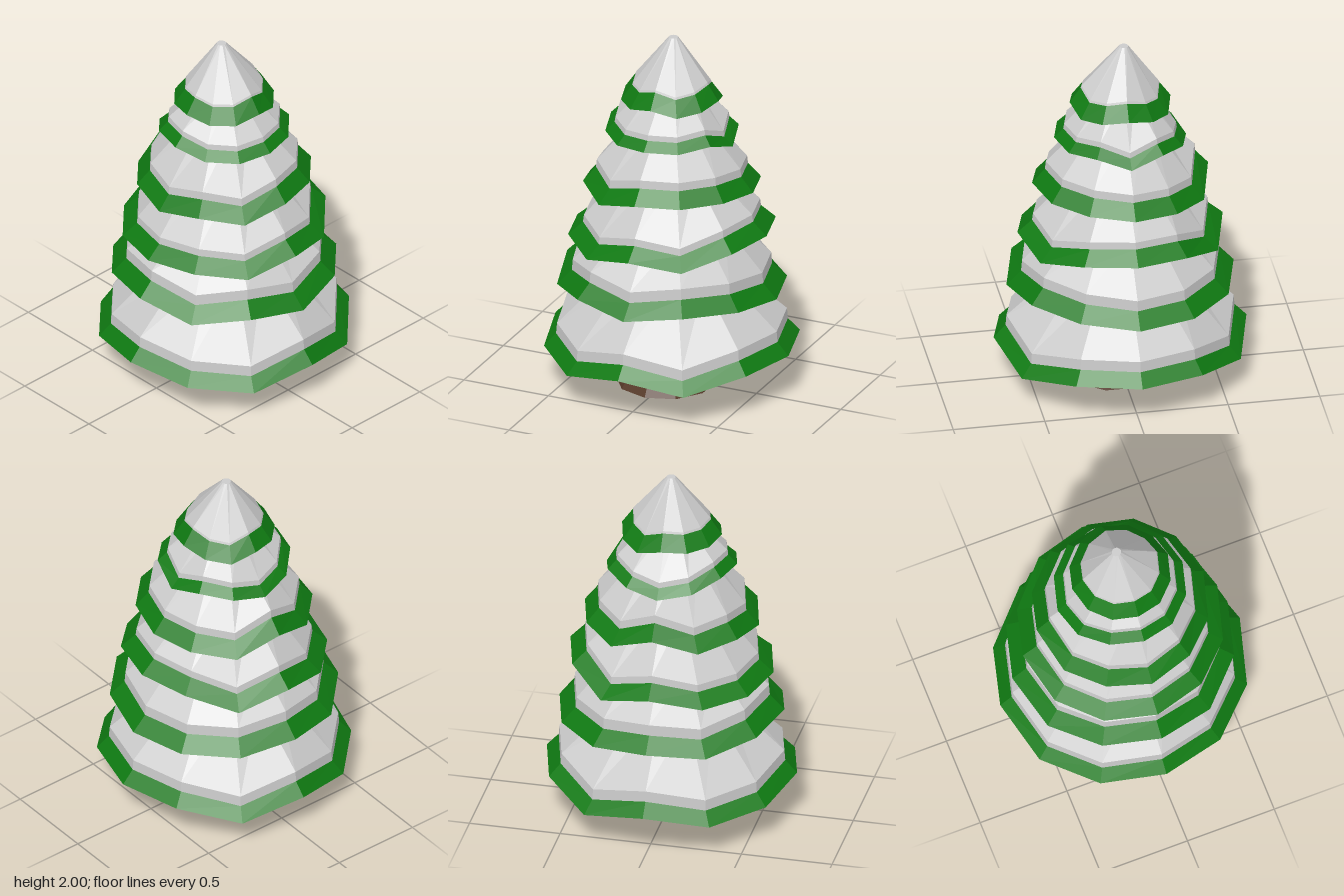
import * as THREE from 'three';

const SIDES = 12;
const green = new THREE.MeshStandardMaterial({ color: 0x0f7a12, flatShading: true });
const brown = new THREE.MeshStandardMaterial({ color: 0x573a28, flatShading: true });
const snowMat = new THREE.MeshStandardMaterial({ color: 0xcccccc, flatShading: true });

// Skin between stacked rings of points, listed from the bottom centre upwards
function loft(rings, material, name) {
  const n = rings[0].length, pos = [];
  for (let k = 0; k + 1 < rings.length; k++) {
    for (let i = 0; i < n; i++) {
      const j = (i + 1) % n;
      const a = rings[k][i], b = rings[k][j], c = rings[k + 1][j], d = rings[k + 1][i];
      for (const p of [a, b, c, a, c, d]) pos.push(...p);
    }
  }
  const geo = new THREE.BufferGeometry();
  geo.setAttribute('position', new THREE.Float32BufferAttribute(pos, 3));
  geo.computeVertexNormals();
  const mesh = new THREE.Mesh(geo, material);
  mesh.name = name;
  return mesh;
}

// One ring of points; height may be a number or a function of the corner index
function ring(r, height, cx = 0, cz = 0, n = SIDES) {
  return Array.from({ length: n }, (_, i) => {
    const a = (i / n) * Math.PI * 2;
    const y = typeof height === 'function' ? height(i) : height;
    return [cx + Math.sin(a) * r, y, cz + Math.cos(a) * r];
  });
}

// Each tier: rim radius, snow radius, lift of the snow above the rim, snow
// thickness, snow top [radius, y], and rim heights (x100) going round from the front
const tiers = [
  { r: 0.69, snow: 0.625, lift: 0.07, thick: 0.06, top: [0.3, 0.67],
    rim: [26, 19, 26, 26, 26, 19, 26, 20, 22, 26, 22, 19] },
  { r: 0.62, snow: 0.54, lift: 0.08, thick: 0.06, top: [0.31, 0.96],
    rim: [58, 62, 61, 58, 58, 58, 61, 58, 62, 64, 58, 62] },
  { r: 0.56, snow: 0.48, lift: 0.07, thick: 0.04, top: [0.22, 1.27],
    rim: [90, 86, 93, 94, 93, 84, 91, 85, 85, 86, 87, 84] },
  { r: 0.48, snow: 0.41, lift: 0.08, thick: 0.045, top: [0.18, 1.55],
    rim: [120, 120, 120, 118, 117, 114, 123, 115, 117, 114, 118, 114] },
  { r: 0.36, snow: 0.31, lift: 0.05, thick: 0.03, top: [0.12, 1.74],
    rim: [147, 147, 149, 143, 148, 145, 142, 145, 150, 150, 147, 146] },
  { r: 0.275, snow: 0.215, lift: 0.085, thick: 0.012, top: [0.025, 2],
    rim: [68, 64.5, 66, 68, 65, 63, 67, 66, 66, 67, 65, 65].map((v) => v + 100) },
];

export function createModel() {
  const tree = new THREE.Group();
  tree.name = 'snowyPineTree';

  // Flared trunk leaning slightly towards the front left at its foot
  tree.add(loft([
    ring(0, 0.005, -0.02, 0.035, 10),
    ring(0.27, 0.005, -0.02, 0.035, 10),
    ring(0.2, 0.17, -0.015, 0.02, 10),
    ring(0.18, 0.27, -0.005, 0.01, 10),
    ring(0.17, 0.4, 0, 0, 10),
  ], brown, 'trunk'));

  tiers.forEach((t, k) => {
    const tier = new THREE.Group();
    tier.name = `tier${k + 1}`;
    const rim = (dy) => (i) => t.rim[i] / 100 + dy;
    const ceiling = t.rim.reduce((s, v) => s + v, 0) / 1200 + 0.07;

    // Foliage: recessed underside, thin lip, and sloping skirt up to the snow
    tier.add(loft([
      ring(0, ceiling),
      ring(t.r * 0.76, ceiling),
      ring(t.r * 0.82, rim(0.015)),
      ring(t.r, rim(0)),
      ring(t.snow, rim(t.lift)),
      ring(t.snow * 0.85, rim(t.lift + 0.01)),
    ], green, 'foliage'));

    // Snow cap: upright edge, then a cone up into the tier above
    const edge = t.lift + t.thick;
    tier.add(loft([
      ring(t.snow * 0.85, rim(t.lift)),
      ring(t.snow, rim(t.lift)),
      ring(t.snow - 0.005, rim(edge)),
      ring(t.top[0], t.top[1], 0, k === 5 ? -0.02 : 0),
      ring(0, t.top[1], 0, k === 5 ? -0.02 : 0),
    ], snowMat, 'snow'));
    tree.add(tier);
  });

  return tree;
}
